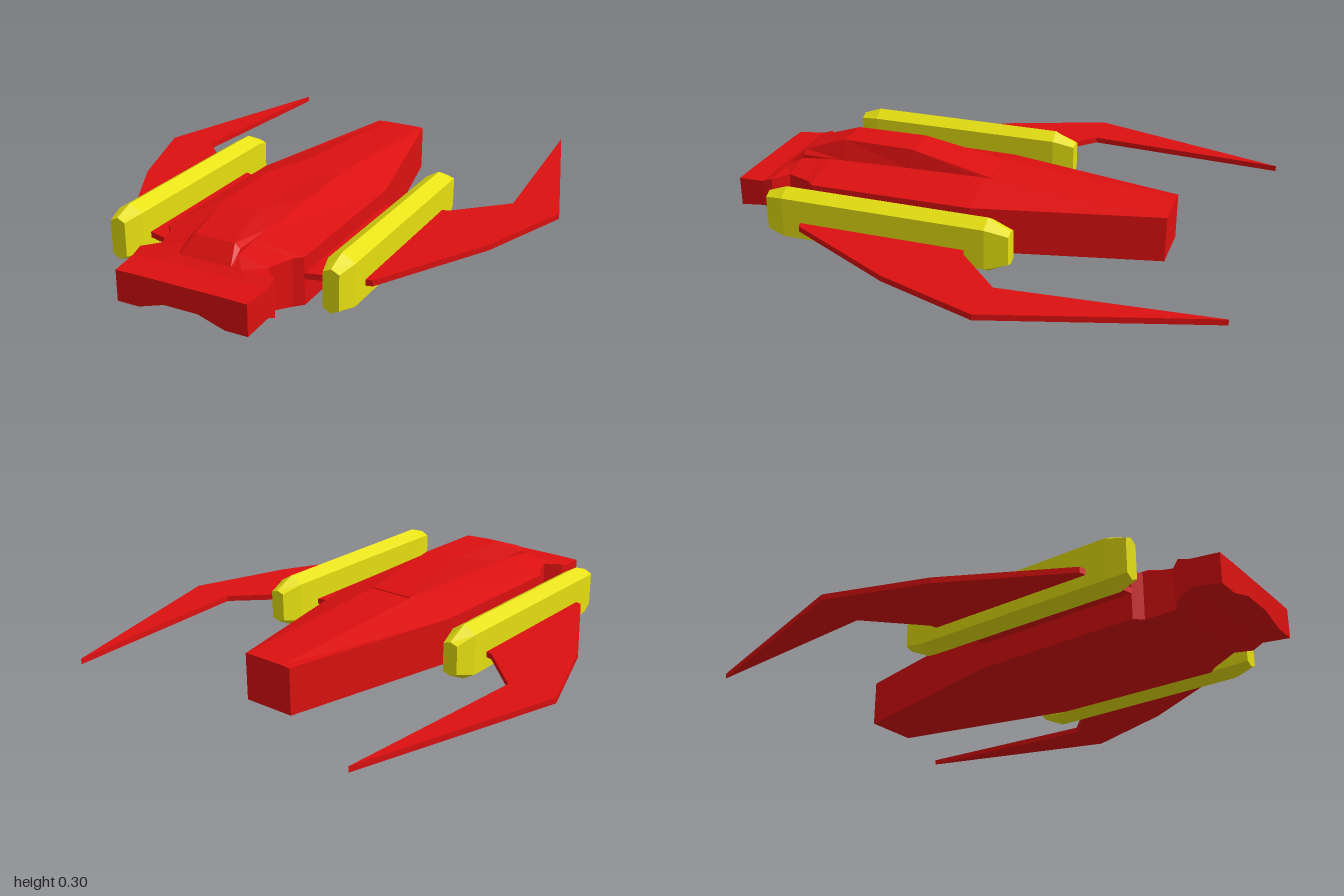
import * as THREE from 'three';

const paint = (color) => new THREE.MeshStandardMaterial({ color, flatShading: true });

// Skin closed rings (counter-clockwise seen from +z), listed from back to front
function loft(sections) {
  const pos = [];
  const tri = (a, b, c) => pos.push(...a, ...b, ...c);
  const rings = sections.map(({ z, ring }) => ring.map(([x, y]) => [x, y, z]));
  const n = rings[0].length;
  for (let k = 0; k < rings.length - 1; k++) {
    for (let j = 0; j < n; j++) {
      const i = (j + 1) % n;
      const a = rings[k][j], b = rings[k][i], c = rings[k + 1][i], d = rings[k + 1][j];
      tri(a, b, c);
      tri(a, c, d);
    }
  }
  // End caps, fanned from the middle
  const cap = (ring, front) => {
    const mid = [0, 1, 2].map((i) => ring.reduce((s, p) => s + p[i], 0) / n);
    for (let j = 0; j < n; j++) {
      const a = ring[j], b = ring[(j + 1) % n];
      if (front) tri(mid, a, b);
      else tri(mid, b, a);
    }
  };
  cap(rings[0], false);
  cap(rings[rings.length - 1], true);
  const g = new THREE.BufferGeometry();
  g.setAttribute('position', new THREE.Float32BufferAttribute(pos, 3));
  g.computeVertexNormals();
  return g;
}

// Mirror a half outline running from bottom to top on the +x side
const mirrored = (half) => [...half, ...half.map(([x, y]) => [-x, y]).reverse()];

function add(parent, name, geometry, material) {
  const mesh = new THREE.Mesh(geometry, material);
  mesh.name = name;
  parent.add(mesh);
  return mesh;
}

export function createModel() {
  const model = new THREE.Group();
  model.name = 'starfighter';
  const red = paint(0xdd1010);
  const yellow = paint(0xe6e010);

  // Hull with necked, arched nose: z, half width, bottom, arch height, side top, roof half width, roof height
  const hull = [
    [-0.69, 0.105, 0, 0, 0.18, 0.07, 0.182],
    [0.02, 0.265, 0, 0, 0.18, 0.095, 0.23],
    [0.67, 0.275, 0, 0, 0.18, 0.1, 0.218],
    [0.7, 0.245, 0, 0, 0.18, 0.1, 0.215],
    [0.8, 0.21, 0.02, 0.02, 0.18, 0.1, 0.205],
    [0.85, 0.265, 0.035, 0.045, 0.175, 0.14, 0.18],
    [0.89, 0.265, 0.055, 0.07, 0.16, 0.17, 0.163],
    [1.0, 0.255, 0.038, 0.07, 0.153, 0.17, 0.155],
  ].map(([z, w, bottom, arch, side, rx, ry]) => ({
    z,
    ring: mirrored([[w * 0.39, arch], [w * 0.66, bottom], [w, bottom], [w, side], [rx, ry]]),
  }));
  add(model, 'hull', loft(hull), red);

  // Canopy: z, base half width, top half width, top height
  const canopy = [
    [0, 0.095, 0.09, 0.232],
    [0.33, 0.095, 0.075, 0.297],
    [0.62, 0.098, 0.07, 0.297],
    [0.79, 0.1, 0.08, 0.238],
    [0.85, 0.11, 0.1, 0.18],
  ].map(([z, base, top, y]) => ({
    z,
    ring: mirrored([[base, 0.16], [base, Math.min(y - 0.003, 0.22)], [top, y]]),
  }));
  add(model, 'canopy', loft(canopy), red);

  // Swept wing outline in (x, z), extruded to a thin plate
  const outline = [
    [0.2, 0.69], [0.275, 0.67], [0.5, 0.61], [0.74, 0.17], [0.875, -0.21],
    [0.635, -1], [0.69, -0.22], [0.5, -0.04], [0.375, -0.01], [0.2, 0.045],
  ];
  // Pod section: z, half width, shoulder half height, ridge half height
  const podSections = [
    [-0.195, 0.03, 0.055, 0.065],
    [-0.11, 0.05, 0.078, 0.107],
    [0.69, 0.05, 0.078, 0.107],
    [0.765, 0.03, 0.065, 0.08],
  ].map(([z, w, s, r]) => ({
    z,
    ring: [[0, -r], [w, -s], [w, s], [0, r], [-w, s], [-w, -s]],
  }));

  for (const side of [1, -1]) {
    const label = side > 0 ? 'left' : 'right';
    const shape = new THREE.Shape(outline.map(([x, z]) => new THREE.Vector2(side * x, -z)));
    const plate = new THREE.ExtrudeGeometry(shape, { depth: 0.022, bevelEnabled: false });
    plate.rotateX(-Math.PI / 2);
    add(model, label + 'Wing', plate, red).position.y = 0.098;
    add(model, label + 'EnginePod', loft(podSections), yellow).position.set(side * 0.425, 0.132, 0);
  }
  return model;
}
